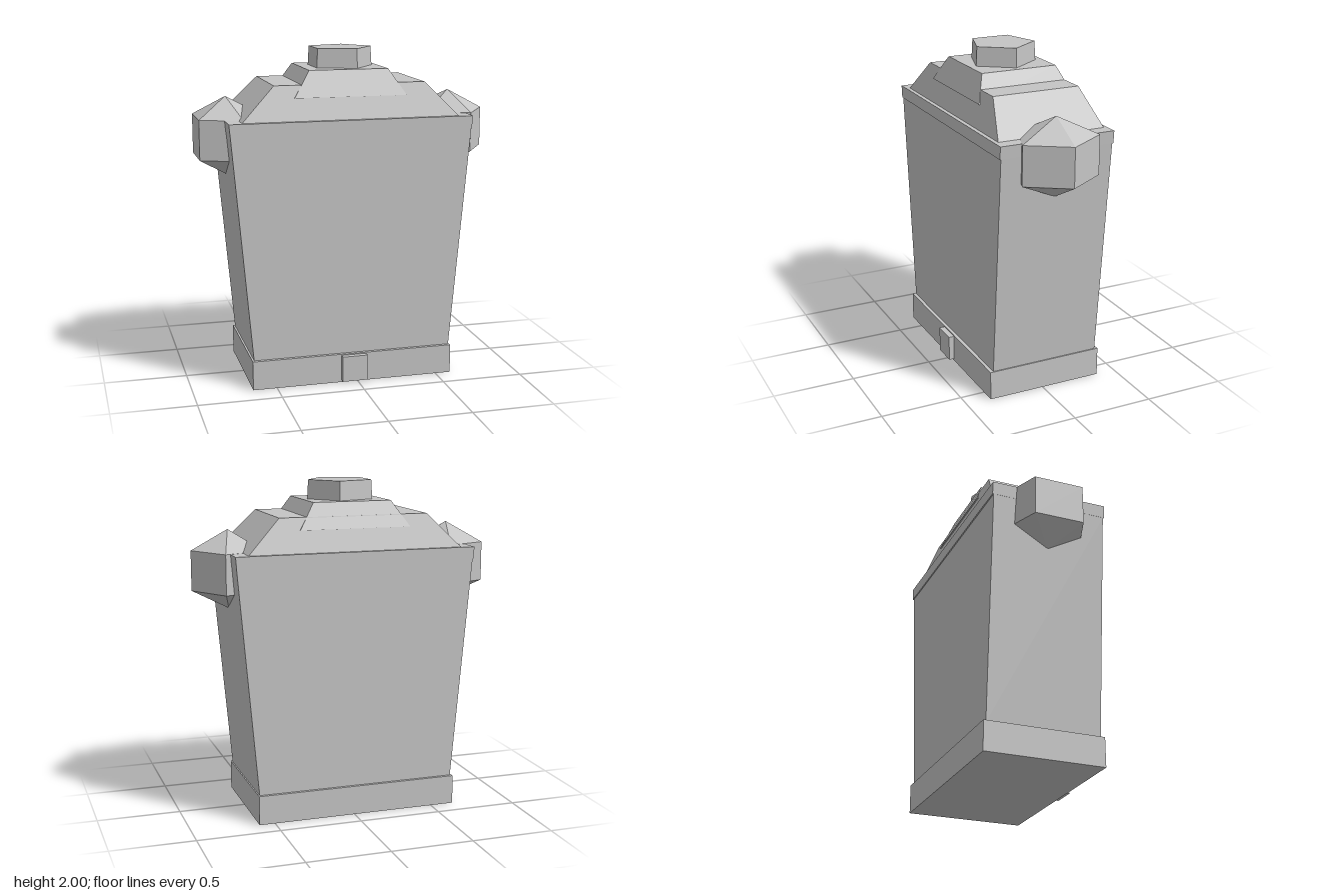
import * as THREE from 'three';

const grey = new THREE.MeshStandardMaterial({ color: 0xc4c4c4 });
grey.name = 'plain grey';

// Mesh with one flat normal per face
function part(name, geometry) {
  const flat = geometry.index ? geometry.toNonIndexed() : geometry;
  flat.computeVertexNormals();
  const mesh = new THREE.Mesh(flat, grey);
  mesh.name = name;
  return mesh;
}

// Tapered block; each rectangle is [xMin, xMax, zMin, zMax]
function block(name, y0, bottom, y1, top = bottom) {
  const geometry = new THREE.BoxGeometry(1, 1, 1);
  const p = geometry.attributes.position;
  for (let i = 0; i < p.count; i++) {
    const up = p.getY(i) > 0;
    const r = up ? top : bottom;
    p.setXYZ(i, p.getX(i) < 0 ? r[0] : r[1], up ? y1 : y0, p.getZ(i) < 0 ? r[2] : r[3]);
  }
  return part(name, geometry);
}

// Five-sided handle: prism with a pointed cap above and below
function handle(name, x) {
  const radius = 0.222, low = 1.365, high = 1.603;
  const group = new THREE.Group();
  group.name = name;
  const add = (label, rTop, rBottom, y0, y1, open) => {
    const g = new THREE.CylinderGeometry(rTop, rBottom, y1 - y0, 5, 1, open, Math.PI / 2);
    g.translate(0, (y0 + y1) / 2, 0);
    g.scale(1, 1, 1.15);
    group.add(part(label, g));
  };
  add('handleMiddle', radius, radius, low, high, true);
  add('handleTop', 0, radius, high, 1.722, true);
  add('handleBottom', radius, 0, 1.25, low, true);
  group.position.set(x, 0, -0.02);
  return group;
}

export function createModel() {
  const model = new THREE.Group();
  model.name = 'bin';

  // Base with front tab
  model.add(block('base', 0, [-0.645, 0.595, -0.378, 0.347], 0.177));
  model.add(block('frontTab', 0.013, [-0.1, 0.053, 0.3, 0.38], 0.17));

  // Body widening towards the rim
  model.add(block('body', 0.17, [-0.633, 0.587, -0.359, 0.326],
    1.526, [-0.75, 0.705, -0.366, 0.334]));
  model.add(block('rim', 1.526, [-0.751, 0.706, -0.373, 0.34],
    1.602, [-0.758, 0.712, -0.373, 0.34]));

  // Stepped lid
  model.add(block('lid', 1.6, [-0.68, 0.633, -0.352, 0.315],
    1.805, [-0.479, 0.433, -0.291, 0.252]));
  model.add(block('lidStep', 1.732, [-0.363, 0.315, -0.321, 0.283],
    1.885, [-0.262, 0.217, -0.257, 0.219]));

  // Five-sided lid knob
  const knob = new THREE.CylinderGeometry(0.198, 0.205, 0.12, 5, 1, false, Math.PI / 2);
  knob.translate(-0.022, 1.94, -0.02);
  model.add(part('lidKnob', knob));

  // Side handles, both turned the same way
  model.add(handle('leftHandle', 0.674));
  model.add(handle('rightHandle', -0.72));

  return model;
}
